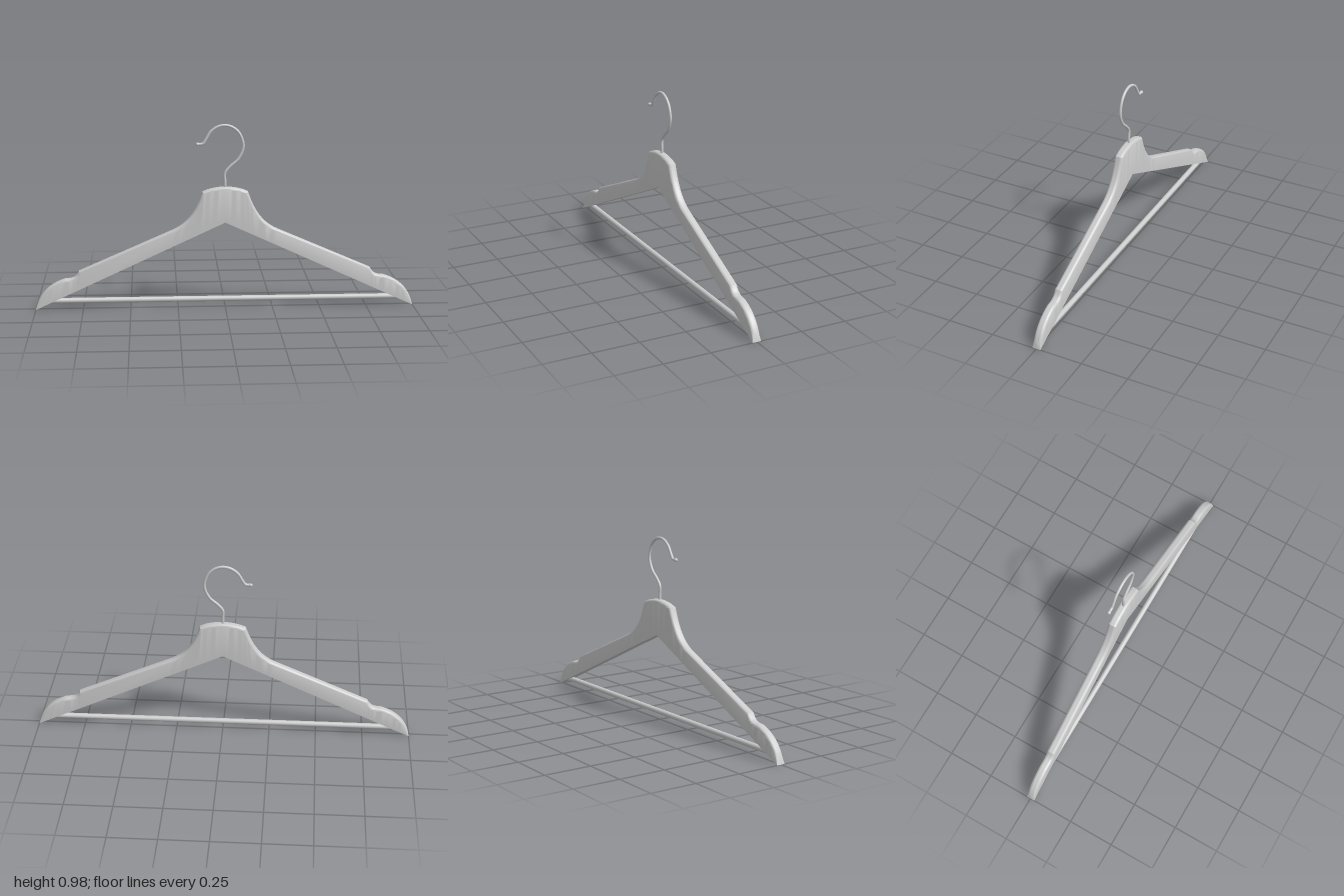
import * as THREE from 'three';
import { toCreasedNormals } from 'three/addons/utils/BufferGeometryUtils.js';

const HALF = 0.023; // half thickness of the wooden body
const ROUND = 0.015; // rounding along the upper edges

// Upper outline from one tip over the neck to the other
function upperOutline() {
  const path = new THREE.Path();
  path.moveTo(0, 0.648);
  path.quadraticCurveTo(0.075, 0.645, 0.12, 0.622);
  path.bezierCurveTo(0.15, 0.53, 0.19, 0.455, 0.28, 0.418);
  path.lineTo(0.77, 0.205);
  path.bezierCurveTo(0.79, 0.165, 0.81, 0.165, 0.845, 0.163);
  path.bezierCurveTo(0.92, 0.14, 0.985, 0.09, 1, 0);
  const half = path.getPoints(10);
  const mirrored = half.slice(1).reverse().map((p) => new THREE.Vector2(-p.x, p.y));
  return [...mirrored, ...half];
}

// Cross-sections: square lower edges, rounded upper edges
function bodyGeometry() {
  const top = upperOutline();
  const steps = 5;
  const rings = top.map((p, i) => {
    const a = top[Math.max(i - 1, 0)];
    const b = top[Math.min(i + 1, top.length - 1)];
    const n = new THREE.Vector2(a.y - b.y, b.x - a.x).normalize();
    const low = 0.46 * (1 - Math.abs(p.x));
    const r = Math.min(ROUND, Math.max(0, (p.y - low) * 0.5));
    const ring = [[p.x, low, HALF]];
    for (const side of [1, -1]) {
      for (let k = 0; k <= steps; k++) {
        const t = ((side > 0 ? k : steps - k) / steps) * Math.PI / 2;
        const inset = r * (1 - Math.sin(t));
        ring.push([p.x - n.x * inset, p.y - n.y * inset, side * (HALF - r * (1 - Math.cos(t)))]);
      }
    }
    ring.push([p.x, low, -HALF]);
    return ring;
  });
  const pos = [];
  for (let i = 0; i < rings.length - 1; i++) {
    const count = rings[i].length;
    for (let j = 0; j < count; j++) {
      const k = (j + 1) % count;
      const [a, b, c, d] = [rings[i][j], rings[i + 1][j], rings[i + 1][k], rings[i][k]];
      pos.push(...a, ...b, ...c, ...a, ...c, ...d);
    }
  }
  const geo = new THREE.BufferGeometry();
  geo.setAttribute('position', new THREE.Float32BufferAttribute(pos, 3));
  return toCreasedNormals(geo, 0.6);
}

export function createModel() {
  const group = new THREE.Group();
  const material = new THREE.MeshStandardMaterial({ color: 0xcccccc });
  const add = (name, geometry) => {
    const mesh = new THREE.Mesh(geometry, material);
    mesh.name = name;
    group.add(mesh);
    return mesh;
  };

  add('hangerBody', bodyGeometry());

  // Trouser bar between the two arms
  const bar = add('crossBar', new THREE.CylinderGeometry(0.0145, 0.0145, 1.9, 24));
  bar.rotation.z = Math.PI / 2;
  bar.position.y = 0.043;

  // Wire hook
  const points = [
    [0, 0.62], [0, 0.67], [0, 0.72], [0.025, 0.753], [0.07, 0.795], [0.095, 0.86],
    [0.076, 0.926], [0.04, 0.96], [0, 0.971], [-0.04, 0.963], [-0.076, 0.937],
    [-0.1, 0.898], [-0.116, 0.876], [-0.143, 0.873],
  ].map(([x, y]) => new THREE.Vector3(x, y, 0));
  const curve = new THREE.CatmullRomCurve3(points);
  add('hook', new THREE.TubeGeometry(curve, 120, 0.0073, 12));

  // Rounded end of the wire
  const tip = add('hookTip', new THREE.SphereGeometry(0.0095, 16, 12));
  tip.position.copy(points[points.length - 1]);

  return group;
}
